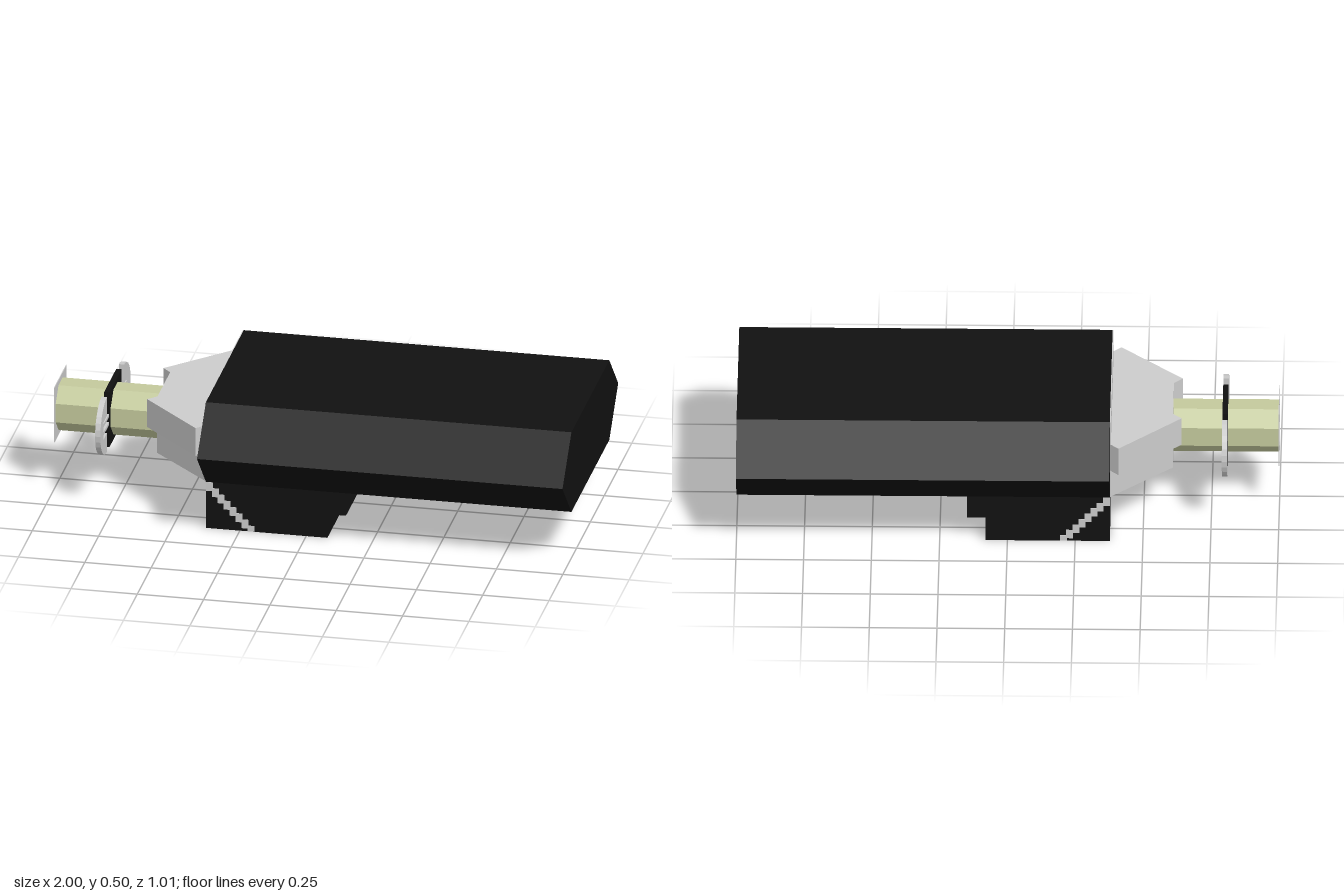
import * as THREE from 'three';

const mat = (color) => new THREE.MeshStandardMaterial({ color, flatShading: true, side: THREE.DoubleSide });
const toShape = (pts) => new THREE.Shape(pts.map(([a, b]) => new THREE.Vector2(a, b)));
const extrude = (shape, depth) => new THREE.ExtrudeGeometry(shape, { depth, bevelEnabled: false });

// Cross-section (z, y) swept along x, from x0 to x1
const alongX = (shape, x0, x1) => extrude(shape, x1 - x0).rotateY(Math.PI / 2).translate(x0, 0, 0);
// Plan outline (x, z) raised from y0 to y1
const alongY = (shape, y0, y1) => extrude(shape, y1 - y0).rotateX(-Math.PI / 2).translate(0, y0, 0);

export function createModel() {
  const model = new THREE.Group();
  const black = mat(0x111111);
  const grey = mat(0xcccccc);
  const olive = mat(0xc3c99c);

  const add = (name, geometry, material, parent = model) => {
    const mesh = new THREE.Mesh(geometry, material);
    mesh.name = name;
    parent.add(mesh);
    return mesh;
  };
  const box = (name, material, [x0, x1], [y0, y1], [z0, z1], parent) => {
    const g = new THREE.BoxGeometry(x1 - x0, y1 - y0, z1 - z0);
    g.translate((x0 + x1) / 2, (y0 + y1) / 2, (z0 + z1) / 2);
    return add(name, g, material, parent);
  };

  // Long six-sided body and the grey panel on its end
  add('body', alongX(toShape([
    [-0.343, 0.185], [0.343, 0.185], [0.505, 0.345],
    [0.343, 0.505], [-0.343, 0.505], [-0.505, 0.345],
  ]), -0.378, 1), black);
  box('endPanel', grey, [-0.382, -0.37], [0.187, 0.504], [-0.342, 0.342]);

  // Tapered collar between body and barrel
  add('collar', alongY(toShape([
    [-0.378, -0.343], [-0.378, 0.343], [-0.608, 0.12], [-0.608, -0.12],
  ]), 0.187, 0.412), grey);

  for (const s of [-1, 1]) {
    // Raised rail on each slanted face of the collar
    add('collarRail', alongY(toShape([
      [-0.378, s * 0.343], [-0.41, s * 0.377], [-0.64, s * 0.148], [-0.608, s * 0.115],
    ]), 0.3, 0.412), grey);

    // Stepped foot with a small grey stair strip
    const foot = new THREE.Group();
    foot.name = 'foot';
    model.add(foot);
    add('footBlock', extrude(toShape([
      [-0.378, 0], [0.08, 0], [0.08, 0.095], [0.15, 0.095], [0.15, 0.187], [-0.378, 0.187],
    ]), 0.228).translate(0, 0, s * 0.229 - 0.114), black, foot);
    for (let i = 0; i < 8; i++) {
      const x = -0.378 + i * 0.0225;
      const y = 0.185 - i * 0.0231;
      box('stair', grey, [x, x + 0.026], [Math.max(0.001, y - 0.035), y],
        [s * 0.229 - 0.116, s * 0.229 + 0.116], foot);
    }
  }

  // Hollow octagonal barrel
  const octagon = (apothem) => Array.from({ length: 8 }, (_, i) => {
    const a = (i + 0.5) * Math.PI / 4;
    const r = apothem / Math.cos(Math.PI / 8);
    return [r * Math.cos(a), 0.3 + r * Math.sin(a)];
  });
  const holed = (pts, hole) => {
    const shape = toShape(pts);
    shape.holes.push(toShape(hole));
    return shape;
  };
  add('barrel', alongX(holed(octagon(0.09), octagon(0.08)), -0.998, -0.605), olive);

  // Thin square flange at the open end, black square plate midway
  const square = [[-0.11, 0.19], [0.11, 0.19], [0.11, 0.41], [-0.11, 0.41]];
  add('endFlange', alongX(holed(square, octagon(0.088)), -1, -0.997), grey);
  add('middlePlate', alongX(holed(square, octagon(0.085)), -0.81, -0.79), black);

  // Half-round slotted wings on two thin struts
  for (const s of [-1, 1]) {
    const wing = new THREE.Group();
    wing.name = 'wing';
    model.add(wing);
    const pts = [];
    for (let i = 0; i <= 14; i++) {
      const a = -Math.PI / 2 + i * Math.PI / 14;
      pts.push([s * (0.155 + 0.12 * Math.cos(a)), 0.3 + 0.11 * Math.sin(a)]);
    }
    pts.push([s * 0.155, 0.335], [s * 0.215, 0.335], [s * 0.215, 0.265], [s * 0.155, 0.265]);
    add('wingPlate', alongX(toShape(pts), -0.81, -0.79), grey, wing);
    for (const dy of [-0.016, 0.016]) {
      const z = [0.105, 0.22].map((v) => v * s).sort((a, b) => a - b);
      box('wingStrut', grey, [-0.808, -0.792], [0.294 + dy, 0.306 + dy], z, wing);
    }
  }
  return model;
}
